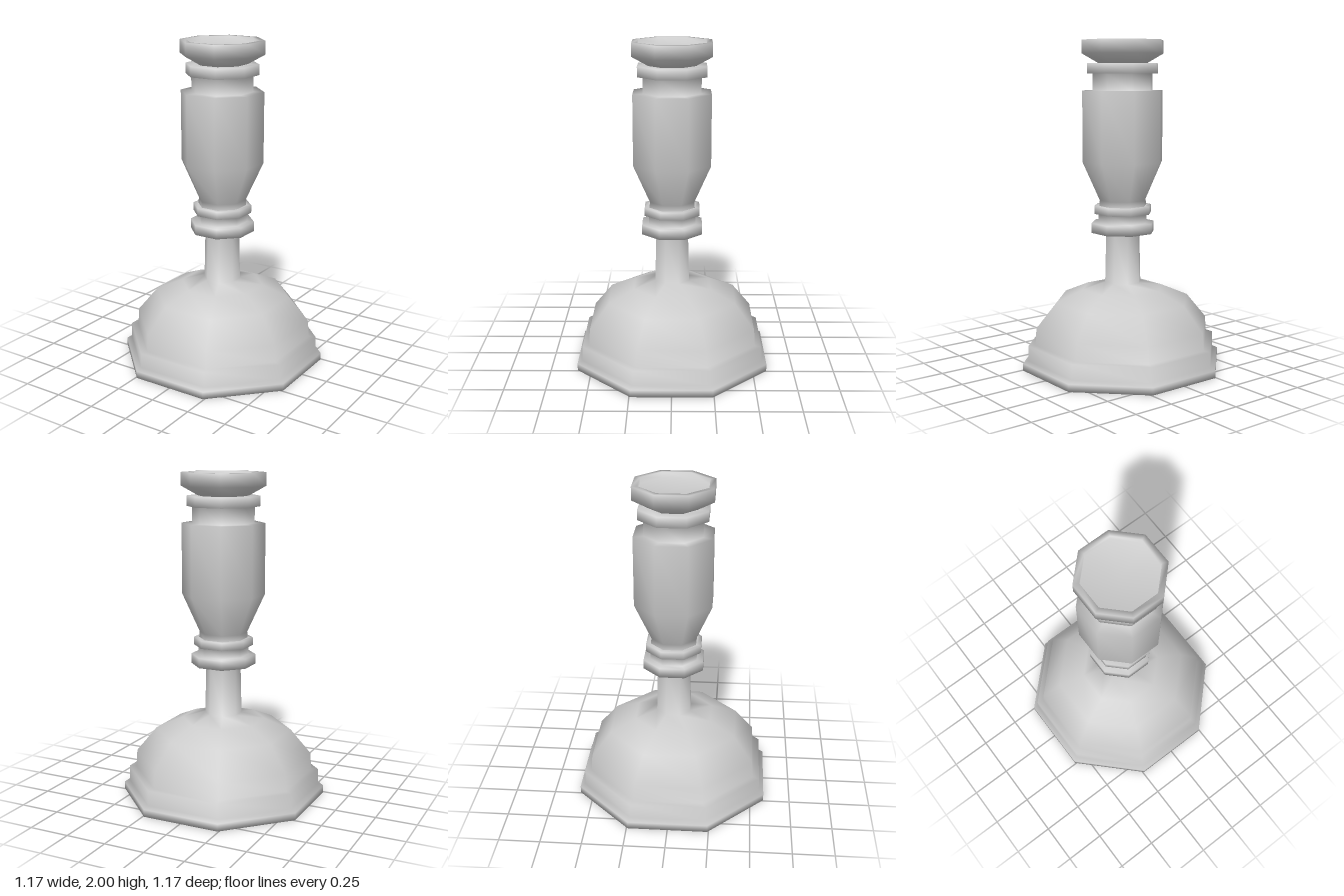
import * as THREE from 'three';
import { mergeVertices } from 'three/addons/utils/BufferGeometryUtils.js';

const SIDES = 8;
// Profiles give the distance to the flat of the octagon; convert it to the corner radius.
const CORNER = 1 / Math.cos(Math.PI / SIDES);

const material = new THREE.MeshStandardMaterial({ color: 0xcccccc, side: THREE.DoubleSide });

// Eight-sided turned part from [flat distance, height] pairs, listed bottom to top,
// with welded corners so the shading runs smoothly over every step.
function turned(name, profile) {
  const points = profile.map(([r, y]) => new THREE.Vector2(r * CORNER, y));
  const lathe = new THREE.LatheGeometry(points, SIDES, Math.PI / SIDES);
  lathe.deleteAttribute('uv');
  lathe.deleteAttribute('normal');
  const geometry = mergeVertices(lathe, 1e-4);
  geometry.computeVertexNormals();
  const mesh = new THREE.Mesh(geometry, material);
  mesh.name = name;
  return mesh;
}

export function createModel() {
  const model = new THREE.Group();
  model.name = 'candlestick';

  model.add(
    // Hollowed underside, stepped foot, dome and slim stem
    turned('footAndStem', [
      [0, 0.09], [0.585, 0], [0.585, 0.045], [0.555, 0.06], [0.553, 0.153], [0.513, 0.155],
      [0.506, 0.26], [0.39, 0.412], [0.235, 0.485], [0.105, 0.523], [0.098, 0.835],
    ]),
    // Two collars with a neck between them
    turned('collars', [
      [0.098, 0.835], [0.183, 0.835], [0.183, 0.895], [0.142, 0.895],
      [0.142, 0.952], [0.167, 0.952], [0.167, 1.0], [0.138, 1.0],
    ]),
    // Tapered body with a shoulder, neck and ring
    turned('body', [
      [0.138, 1.0], [0.135, 1.035], [0.233, 1.27], [0.233, 1.7], [0.173, 1.7],
      [0.173, 1.8], [0.205, 1.8], [0.205, 1.862], [0.14, 1.862],
    ]),
    // Flared cup with a shallow recess
    turned('cup', [[0.14, 1.862], [0.236, 1.92], [0.236, 2.0], [0.203, 2.0], [0.203, 1.965], [0, 1.965]]),
  );

  return model;
}
